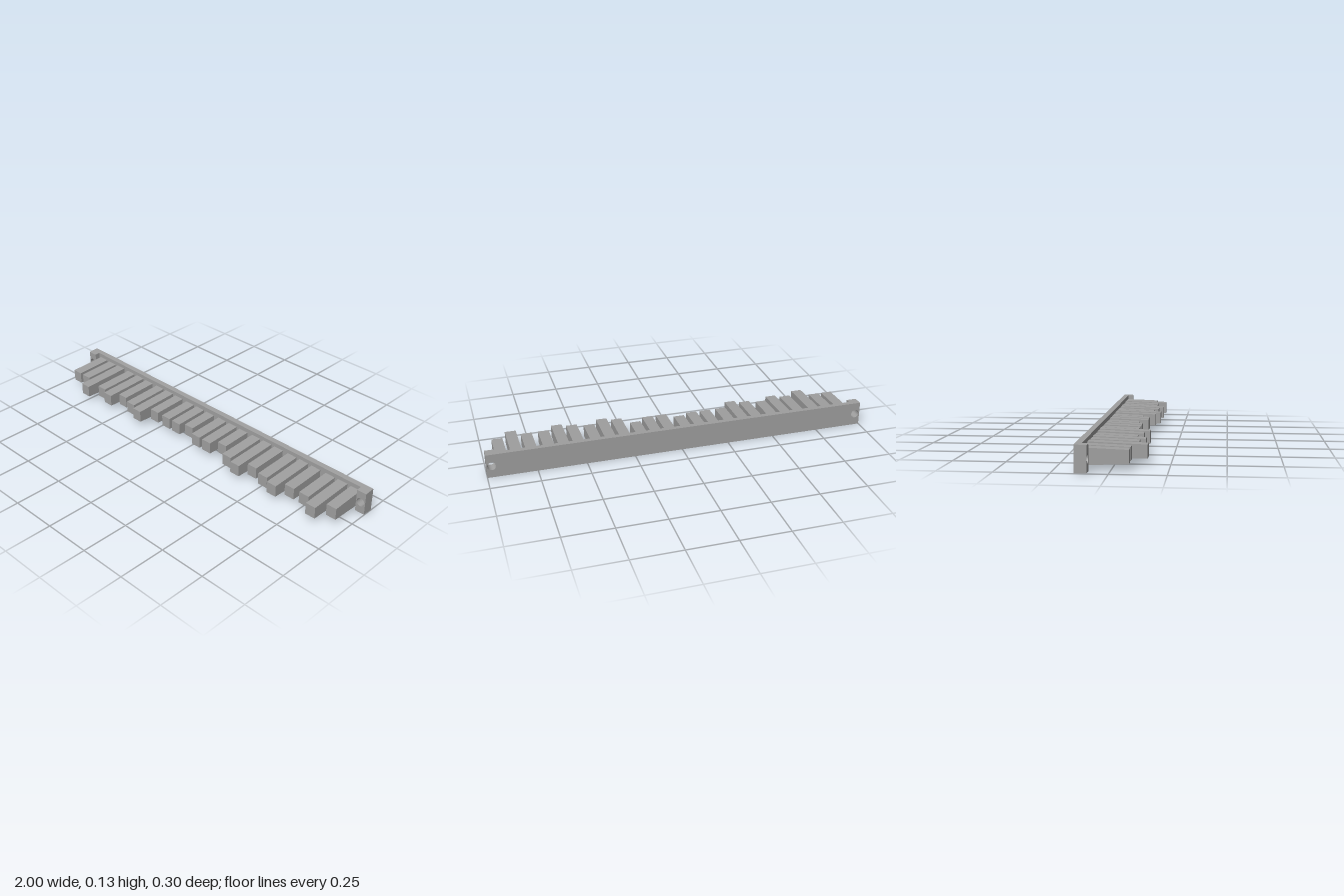
import * as THREE from 'three';

const MID = 0.063;      // mid height of the bar
const BACK = -0.148;    // rear face
const STEP = -0.12;     // front face of the thin bar
const LUG = -0.092;     // front face of the end lugs
const HOLE_X = 0.974, HOLE_R = 0.022;

const grey = new THREE.MeshStandardMaterial({ color: 0xa0a0a0 });
grey.name = 'grey plastic';

// Extruded slab with screw holes whose top and bottom draw in towards the front
function slab(x0, x1, z0, z1, holes) {
  const s = new THREE.Shape();
  s.moveTo(x0, -0.063).lineTo(x1, -0.063).lineTo(x1, 0.063).lineTo(x0, 0.063).closePath();
  for (const hx of holes) {
    const h = new THREE.Path();
    h.absarc(hx, 0, HOLE_R, 0, Math.PI * 2, true);
    s.holes.push(h);
  }
  const geo = new THREE.ExtrudeGeometry(s, { depth: z1 - z0, bevelEnabled: false, curveSegments: 12 });
  geo.translate(0, 0, z0);
  const p = geo.attributes.position;
  for (let i = 0; i < p.count; i++) {
    const y = p.getY(i);
    const outer = Math.abs(y) > 0.05;
    p.setY(i, MID + (outer ? y * (1 - 0.8 * (p.getZ(i) - BACK)) : y));
  }
  geo.computeVertexNormals();
  return geo;
}

// Tapered tooth: side profile extruded across its width
function tooth(zEnd) {
  const w = 0.056, tip = 0.031, base = tip + 0.0375 * (zEnd - STEP);
  const s = new THREE.Shape();
  s.moveTo(STEP, -base).lineTo(zEnd, -tip).lineTo(zEnd, tip).lineTo(STEP, base).closePath();
  const geo = new THREE.ExtrudeGeometry(s, { depth: w, bevelEnabled: false });
  geo.translate(0, 0, -w / 2);
  geo.rotateY(-Math.PI / 2);
  return geo;
}

export function createModel() {
  const model = new THREE.Group();
  model.name = 'toothedBar';
  const add = (geo, name) => {
    const m = new THREE.Mesh(geo, grey);
    m.name = name;
    model.add(m);
    return m;
  };

  // Long bar and its two end lugs
  add(slab(-1, 1, BACK, STEP, [-HOLE_X, HOLE_X]), 'bar');
  add(slab(-1, -0.948, STEP, LUG, [-HOLE_X]), 'rightLug');
  add(slab(0.948, 1, STEP, LUG, [HOLE_X]), 'leftLug');

  // Eight groups of three teeth; each digit picks a length
  const ends = [0.043, 0.065, 0.081, 0.103, 0.126, 0.149];
  const code = '225342341110220342342241';
  [...code].forEach((c, i) => {
    const x = -0.906 + Math.floor(i / 3) * 0.2393 + (i % 3) * 0.0755;
    add(tooth(ends[+c]), `tooth${i + 1}`).position.set(x, 0.064, 0);
  });
  return model;
}
